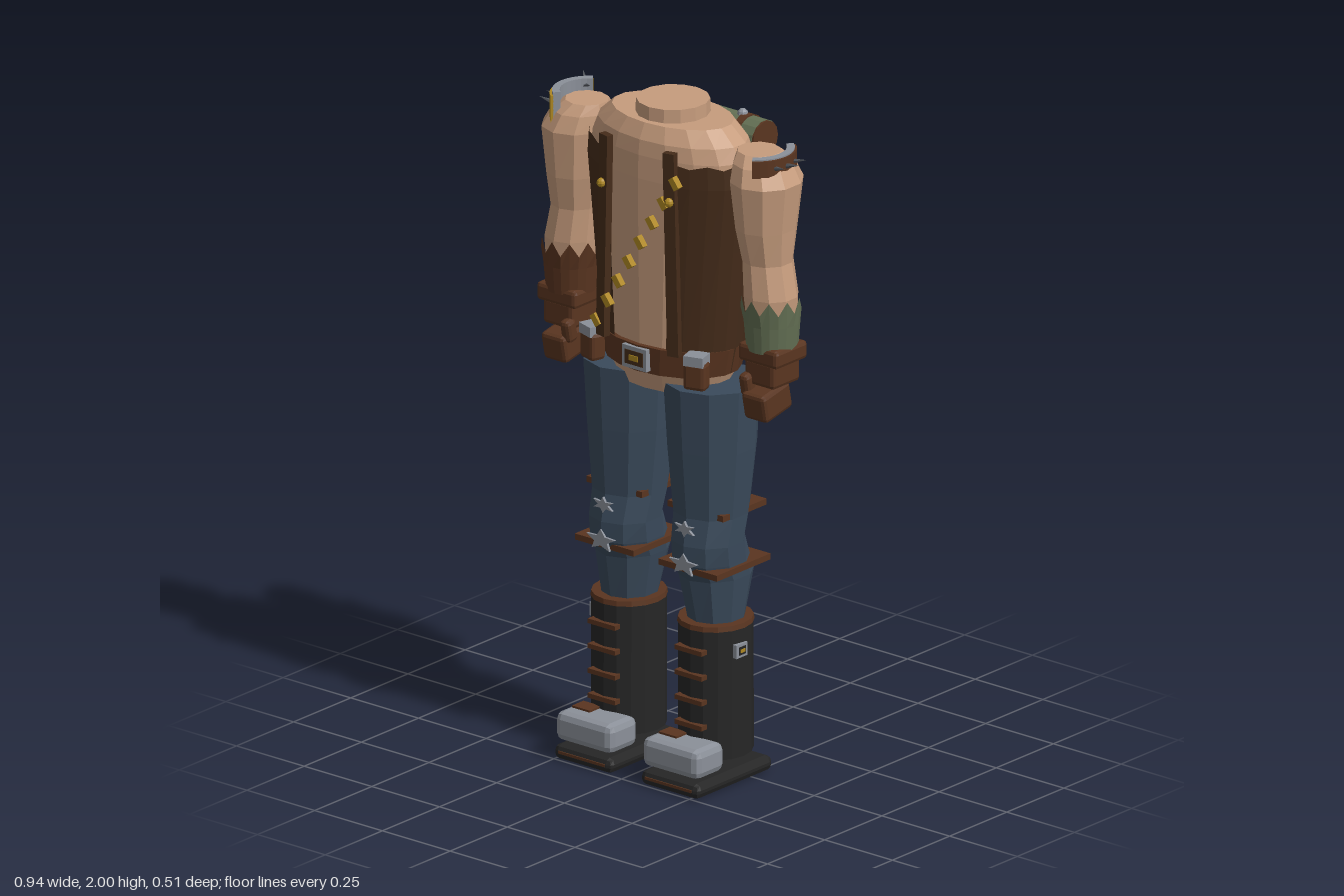
import * as THREE from 'three';
import { RoundedBoxGeometry } from 'three/addons/geometries/RoundedBoxGeometry.js';

const mat = (name, color) => Object.assign(new THREE.MeshStandardMaterial({ color }), { name });

export function createModel() {
  const skin = mat('skin', 0xc69c7d), vestM = mat('vest leather', 0x452c1a);
  const leather = mat('strap leather', 0x5a3520), denim = mat('denim', 0x3a4a5b);
  const rubber = mat('boot black', 0x262626), steel = mat('steel', 0x8b9099);
  const iron = mat('dark iron', 0x50545a), gold = mat('brass yellow', 0xad8722);
  const canvas = mat('green canvas', 0x647054);
  vestM.side = THREE.DoubleSide;

  const model = new THREE.Group();
  const body = new THREE.Group();
  body.name = 'body';
  body.position.x = 0.013;
  model.add(body);

  const add = (name, geo, m, x = 0, y = 0, z = 0, rx = 0, ry = 0, rz = 0) => {
    const g = geo.index ? geo.toNonIndexed() : geo;
    g.computeVertexNormals(); // faceted look
    const mesh = new THREE.Mesh(g, m);
    mesh.name = name;
    mesh.position.set(x, y, z);
    mesh.rotation.set(rx, ry, rz);
    body.add(mesh);
    return mesh;
  };
  const box = (w, h, d) => new THREE.BoxGeometry(w, h, d);
  const soft = (w, h, d, r = 0.012) => new RoundedBoxGeometry(w, h, d, 1, r);

  // Skin over elliptical rings [y, cx, cz, rx, rz], bottom to top; zig makes a torn upper edge
  function loft(rings, sides, { from = 0, arc = Math.PI * 2, cap = true, zig = 0 } = {}) {
    const pos = [], idx = [], row = sides + 1;
    rings.forEach(([y, cx, cz, rx, rz], j) => {
      for (let i = 0; i <= sides; i++) {
        const t = from + arc * i / sides;
        const drop = zig && j === rings.length - 1 && i % 2 ? zig : 0;
        pos.push(cx + rx * Math.sin(t), y - drop, cz + rz * Math.cos(t));
        if (j && i) {
          const a = (j - 1) * row + i - 1, b = j * row + i - 1;
          idx.push(a, a + 1, b + 1, a, b + 1, b);
        }
      }
    });
    if (cap) [0, rings.length - 1].forEach((j) => {
      const [y, cx, cz] = rings[j], c = pos.length / 3;
      pos.push(cx, y, cz);
      for (let i = 0; i < sides; i++) {
        const a = j * row + i;
        j ? idx.push(c, a, a + 1) : idx.push(c, a + 1, a);
      }
    });
    const g = new THREE.BufferGeometry();
    g.setAttribute('position', new THREE.Float32BufferAttribute(pos, 3));
    g.setIndex(idx);
    return g;
  }
  const grow = (rings, d) => rings.map(([y, cx, cz, rx, rz]) => [y, cx, cz, rx + d, rz + d]);

  // Torso and neck
  const trunk = [[1.22, 0, 0.04, 0.205, 0.143], [1.3, 0, 0.04, 0.222, 0.147],
    [1.6, 0, 0.04, 0.252, 0.152], [1.8, 0, 0.04, 0.274, 0.154], [1.87, 0, 0.04, 0.27, 0.152]];
  add('torso', loft([[1.16, 0, 0.04, 0.18, 0.125], ...trunk,
    [1.915, 0, 0.04, 0.25, 0.147], [1.96, 0, 0.04, 0.2, 0.125]], 18), skin);
  add('neck', new THREE.CylinderGeometry(0.105, 0.107, 0.06, 14), skin, 0, 1.97, 0.04);

  // Open vest, lapels and studs
  add('vest', loft(grow(trunk, 0.01), 24, { from: 0.42, arc: Math.PI * 2 - 0.84, cap: false, zig: 0.012 }), vestM);
  for (const s of [-1, 1]) {
    add('lapel', box(0.036, 0.61, 0.022), vestM, s * 0.125, 1.6, 0.192, 0, s * 0.2, s * 0.025);
    add('lapelStud', new THREE.SphereGeometry(0.014, 8, 6), gold, s * 0.125, 1.76, 0.206);
  }
  // Diagonal row of cartridges
  for (let i = 0; i < 8; i++) {
    const k = i / 7;
    add('cartridge', box(0.02, 0.036, 0.02), gold,
      0.142 - 0.29 * k, 1.82 - 0.48 * k, 0.206 - 0.03 * Math.abs(k - 0.5) * 0.5, 0, 0, 0.65);
  }

  // Belt, buckle and pouches
  add('belt', loft([[1.22, 0, 0.04, 0.218, 0.158], [1.3, 0, 0.04, 0.235, 0.162]], 18), leather);
  add('buckle', box(0.09, 0.066, 0.018), steel, 0, 1.262, 0.202);
  add('buckleInset', box(0.066, 0.042, 0.008), vestM, 0, 1.262, 0.209);
  add('buckleMark', box(0.034, 0.016, 0.008), gold, 0, 1.262, 0.212);
  for (const [x, z, ry] of [[-0.192, 0.165, -0.3], [0.192, 0.165, 0.3], [0, -0.125, 0]]) {
    add('pouch', soft(0.068, 0.085, 0.05), leather, x, 1.245, z, 0, ry);
    add('pouchFlap', box(0.06, 0.03, 0.054), steel, x, 1.292, z, 0, ry);
  }

  // Arms, torn sleeves and gloves
  for (const s of [-1, 1]) {
    const rings = [[1.34, 0.37, 0.045, 0.066, 0.069], [1.42, 0.37, 0.046, 0.073, 0.074],
      [1.5, 0.368, 0.048, 0.08, 0.079], [1.6, 0.354, 0.045, 0.073, 0.075],
      [1.7, 0.349, 0.045, 0.086, 0.095], [1.84, 0.348, 0.043, 0.103, 0.111],
      [1.89, 0.335, 0.04, 0.088, 0.092], [1.92, 0.318, 0.04, 0.064, 0.062]]
      .map(([y, cx, ...r]) => [y, s * cx, ...r]);
    add('arm', loft(rings, 10), skin);
    add('tornSleeve', loft(grow(rings.slice(0, 3), 0.007), 20, { zig: 0.04, cap: false }), s > 0 ? canvas : leather);
    add('gloveCuff', soft(0.145, 0.055, 0.14), leather, s * 0.372, 1.33, 0.045);
    add('gloveHand', soft(0.11, 0.08, 0.12), leather, s * 0.372, 1.275, 0.047);
    add('gloveFist', soft(0.086, 0.085, 0.12), leather, s * 0.37, 1.187, 0.068, 0.2);
    add('gloveThumb', soft(0.035, 0.07, 0.04), leather, s * 0.33, 1.235, 0.105, 0.2);
  }

  // Spiked shoulder guards: curved plates hugging the outer arm
  const curved = (name, s, r, thick, y, h, m) => {
    const p = new THREE.Shape();
    p.absarc(0, 0, r, -0.95, 0.95, false);
    p.absarc(0, 0, r - thick, 0.95, -0.95, true);
    const g = new THREE.ExtrudeGeometry(p, { depth: h, bevelEnabled: false, curveSegments: 5 });
    g.rotateX(-Math.PI / 2);
    if (s < 0) g.rotateY(Math.PI);
    add(name, g, m, s * 0.305, y, 0.042);
  };
  const spike = (x, y, z, dx, dy, dz, len = 0.065) => {
    const m = add('spike', new THREE.ConeGeometry(0.011, len, 6), iron, x, y, z);
    m.quaternion.setFromUnitVectors(new THREE.Vector3(0, 1, 0), new THREE.Vector3(dx, dy, dz).normalize());
  };
  curved('shoulderPlate', -1, 0.108, 0.022, 1.85, 0.1, steel);
  curved('shoulderPlateFace', -1, 0.115, 0.008, 1.86, 0.08, gold);
  curved('shoulderPad', 1, 0.112, 0.022, 1.875, 0.052, steel);
  curved('shoulderPadFace', 1, 0.118, 0.007, 1.873, 0.05, leather);
  for (const s of [-1, 1]) for (const k of [-1, 0, 1])
    spike(s * (0.435 - 0.012 * Math.abs(k)), 1.9, 0.042 + k * 0.042, s, 0.25, k * 0.2);
  spike(-0.39, 1.94, -0.035, -0.7, 0.5, -0.6);
  spike(-0.445, 1.8, 0.042, -1, 0.1, 0, 0.05);
  spike(-0.45, 1.41, 0.045, -1, 0.1, 0, 0.05);

  // Backpack, bedroll and straps
  add('backpack', soft(0.28, 0.4, 0.125, 0.02), leather, 0, 1.6, -0.167);
  add('bedroll', new THREE.CylinderGeometry(0.057, 0.057, 0.31, 14), canvas, 0, 1.85, -0.173, 0, 0, Math.PI / 2);
  for (const s of [-1, 1]) {
    add('bedrollEnd', new THREE.CylinderGeometry(0.055, 0.055, 0.008, 14), leather, s * 0.157, 1.85, -0.173, 0, 0, Math.PI / 2);
    add('bedrollStrap', new THREE.CylinderGeometry(0.061, 0.061, 0.024, 14), leather, s * 0.093, 1.85, -0.173, 0, 0, Math.PI / 2);
  }
  add('strapStud', new THREE.SphereGeometry(0.016, 8, 6), steel, 0.077, 1.908, -0.173);
  add('hangingTool', box(0.026, 0.1, 0.022), steel, 0.148, 1.7, -0.235, 0, 0, 0.12);
  add('toolHead', soft(0.045, 0.035, 0.03, 0.008), steel, 0.152, 1.755, -0.232);

  // Bent sign plate on the pack
  const bent = (name, w, h, d, z, m) => {
    const g = new THREE.BoxGeometry(w, h, d, 6, 1, 1), p = g.attributes.position;
    for (let i = 0; i < p.count; i++) {
      const x = p.getX(i), y = p.getY(i);
      p.setXYZ(i, x + y * 0.08, y + x * 0.12, p.getZ(i) - x * x * 1.5);
    }
    add(name, g, m, -0.01, 1.605, z);
  };
  bent('signPlate', 0.205, 0.23, 0.012, -0.236, steel);
  bent('signFace', 0.185, 0.208, 0.006, -0.243, gold);
  add('signMark', box(0.02, 0.12, 0.006), rubber, -0.01, 1.605, -0.248, 0, 0, 0.75);
  for (const s of [-1, 1]) add('signMarkEnd', box(0.04, 0.036, 0.006), rubber, -0.01 - s * 0.034, 1.605 + s * 0.036, -0.25, 0, 0, 0.75);

  // Jagged tear on the trousers
  const tear = (r, h, n) => {
    const pts = [];
    for (let i = 0; i < n * 2; i++) {
      const t = Math.PI * i / n, k = i % 2 ? 0.45 : 1;
      pts.push(new THREE.Vector2(r * k * Math.sin(t), h * k * Math.cos(t)));
    }
    return new THREE.ExtrudeGeometry(new THREE.Shape(pts), { depth: 0.008, bevelEnabled: false });
  };

  // Legs and boots
  for (const s of [-1, 1]) {
    add('trouserLeg', loft([[0.45, 0.16, 0.04, 0.077, 0.08], [0.61, 0.154, 0.033, 0.1, 0.118],
      [0.66, 0.152, 0.055, 0.104, 0.118], [0.72, 0.152, 0.068, 0.107, 0.107],
      [0.8, 0.15, 0.05, 0.112, 0.11], [1.0, 0.148, 0.044, 0.131, 0.131],
      [1.19, 0.148, 0.045, 0.143, 0.14]].map(([y, cx, ...r]) => [y, s * cx, ...r]), 10), denim);
    add('thighStrap', box(0.205, 0.018, 0.19), leather, s * 0.15, 0.81, 0.025);
    add('shinStrap', box(0.216, 0.018, 0.235), leather, s * 0.154, 0.645, 0.042);
    add('upperTear', tear(0.04, 0.024, 6), steel, s * 0.15, 0.77, 0.163);
    add('lowerTear', tear(0.055, 0.034, 5), steel, s * 0.152, 0.665, 0.17);

    const bx = s * 0.16;
    add('bootShaft', loft([[0.078, bx, 0.043, 0.104, 0.112], [0.47, bx, 0.043, 0.105, 0.11]], 16), rubber);
    add('bootRim', loft([[0.465, bx, 0.043, 0.107, 0.113], [0.48, bx, 0.043, 0.105, 0.111]], 16), leather);
    [0.18, 0.255, 0.33, 0.405].forEach((y) => add('bootLace', box(0.1, 0.014, 0.024), leather, bx, y, 0.153));
    add('bootSole', soft(0.213, 0.045, 0.335, 0.018), rubber, bx, 0.0225, 0.083);
    add('soleWelt', box(0.17, 0.008, 0.006), leather, bx, 0.025, 0.25);
    add('toeCap', soft(0.208, 0.088, 0.125, 0.022), steel, bx, 0.1, 0.186);
    add('toePatch', box(0.065, 0.008, 0.05), leather, bx - 0.05, 0.146, 0.17);
    add('bootBuckle', box(0.014, 0.04, 0.048), steel, bx + s * 0.105, 0.403, 0.06);
    add('bootBuckleInset', box(0.008, 0.024, 0.03), rubber, bx + s * 0.11, 0.403, 0.06);
    add('bootBuckleMark', box(0.008, 0.01, 0.018), gold, bx + s * 0.112, 0.403, 0.06);
  }
  return model;
}
